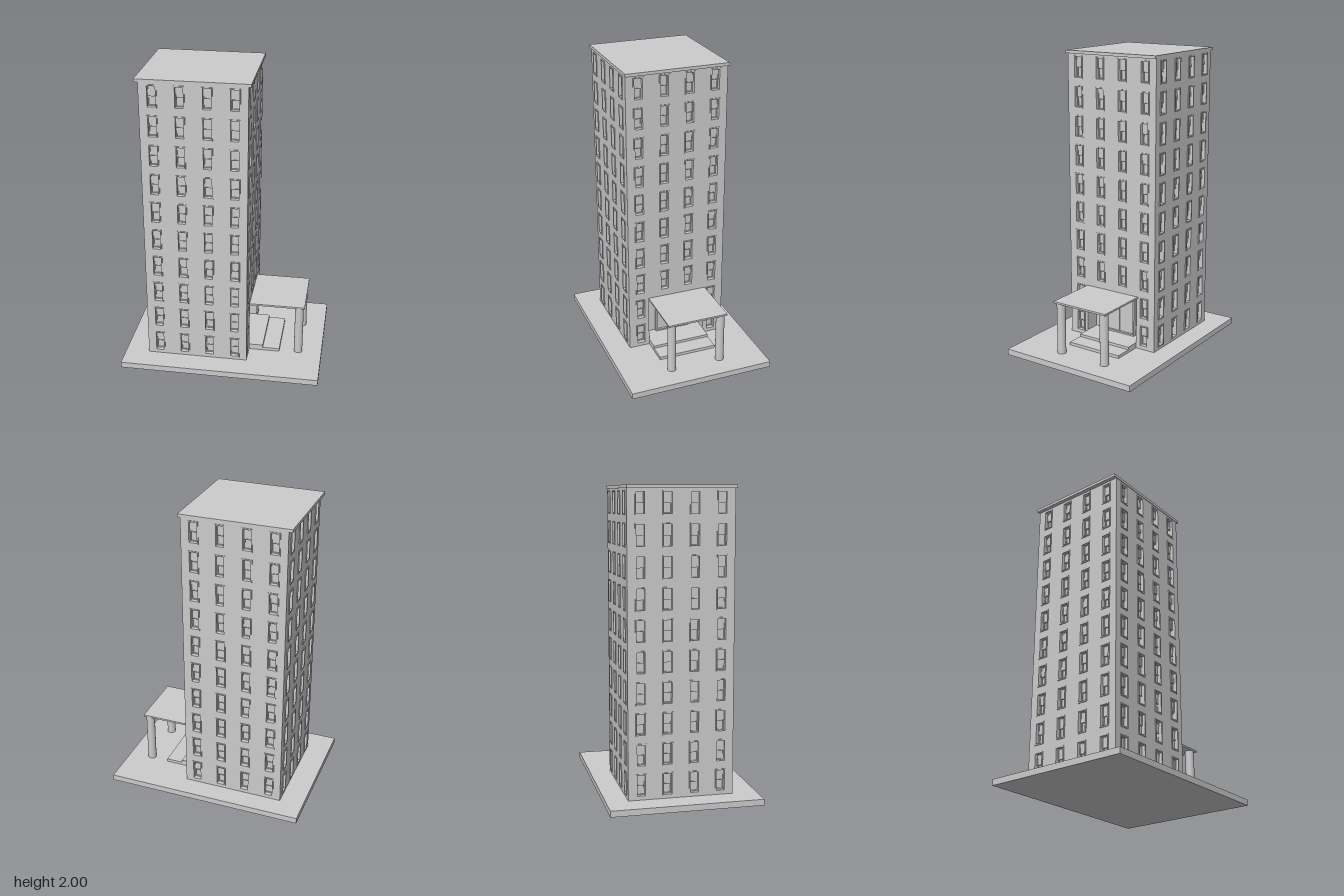
import * as THREE from 'three';
import { mergeGeometries } from 'three/addons/utils/BufferGeometryUtils.js';

const grey = new THREE.MeshStandardMaterial({ color: 0xcccccc });

// Tower dimensions
const CX = -0.17, CZ = -0.0105;
const W = 0.68, D = 0.683;
const BASE = 0.04, TOP = 1.98;
const WALL = 0.03;
const COLUMNS = [-0.258, -0.086, 0.086, 0.258];
const ROWS = Array.from({ length: 10 }, (_, i) => 0.134 + i * 0.1955);
const WIN_W = 0.068, WIN_H = 0.148;

// Entrance opening in the side wall
const DOOR_HALF = 0.2, DOOR_TOP = 0.395;

function box(name, x0, x1, y0, y1, z0, z1) {
  const g = new THREE.BoxGeometry(x1 - x0, y1 - y0, z1 - z0);
  g.translate((x0 + x1) / 2, (y0 + y1) / 2, (z0 + z1) / 2);
  const m = new THREE.Mesh(g, grey);
  m.name = name;
  return m;
}

function rectPath(path, cx, cy, w, h) {
  path.moveTo(cx - w / 2, cy - h / 2);
  path.lineTo(cx + w / 2, cy - h / 2);
  path.lineTo(cx + w / 2, cy + h / 2);
  path.lineTo(cx - w / 2, cy + h / 2);
  path.closePath();
  return path;
}

// Rectangular ring, its back at z = 0
function ring(w, h, t, depth) {
  const s = rectPath(new THREE.Shape(), 0, 0, w, h);
  s.holes.push(rectPath(new THREE.Path(), 0, 0, w - 2 * t, h - 2 * t));
  return new THREE.ExtrudeGeometry(s, { depth, bevelEnabled: false });
}

// Window: outer frame, and an upper sash in front of a lower one.
// z = 0 is the outer wall face.
function windowGeometry() {
  const frame = ring(WIN_W, WIN_H, 0.008, WALL + 0.005).translate(0, 0, -WALL);
  const upper = ring(0.052, 0.07, 0.004, 0.008).translate(0, 0.031, -0.022);
  const lower = ring(0.052, 0.07, 0.004, 0.008).translate(0, -0.031, -WALL);
  const upperGlass = new THREE.BoxGeometry(0.046, 0.064, 0.003).toNonIndexed()
    .translate(0, 0.031, -0.019);
  return mergeGeometries([frame, upper, lower, upperGlass]);
}

// One wall with its windows, facing +z in its own space
function facade(name, width, hasEntrance) {
  const group = new THREE.Group();
  group.name = name;
  const h = width / 2;
  const shape = new THREE.Shape();
  shape.moveTo(-h, BASE);
  if (hasEntrance) {
    shape.lineTo(-DOOR_HALF, BASE);
    shape.lineTo(-DOOR_HALF, DOOR_TOP);
    shape.lineTo(DOOR_HALF, DOOR_TOP);
    shape.lineTo(DOOR_HALF, BASE);
  }
  shape.lineTo(h, BASE);
  shape.lineTo(h, TOP);
  shape.lineTo(-h, TOP);
  shape.closePath();

  const unit = windowGeometry();
  const windows = [];
  ROWS.forEach((y, row) => COLUMNS.forEach((x) => {
    if (hasEntrance && row < 2 && Math.abs(x) < 0.2) return;
    shape.holes.push(rectPath(new THREE.Path(), x, y, WIN_W, WIN_H));
    windows.push(unit.clone().translate(x, y, 0));
  }));

  const wallGeo = new THREE.ExtrudeGeometry(shape, { depth: WALL, bevelEnabled: false });
  const wall = new THREE.Mesh(wallGeo.translate(0, 0, -WALL), grey);
  wall.name = 'wall';
  const frames = new THREE.Mesh(mergeGeometries(windows), grey);
  frames.name = 'windows';
  group.add(wall, frames);
  return group;
}

function tower() {
  const group = new THREE.Group();
  group.name = 'tower';
  const sides = [
    ['frontFacade', W, 0, 0, D / 2],
    ['leftFacade', D, Math.PI / 2, W / 2, 0],
    ['backFacade', W, Math.PI, 0, -D / 2],
    ['rightFacade', D, -Math.PI / 2, -W / 2, 0],
  ];
  sides.forEach(([name, width, turn, x, z]) => {
    const f = facade(name, width, name === 'leftFacade');
    f.rotation.y = turn;
    f.position.set(CX + x, 0, CZ + z);
    group.add(f);
  });

  // Inner blocks that close the windows, leaving the entrance recess free
  const x0 = CX - W / 2 + WALL, x1 = CX + W / 2 - WALL;
  const z0 = CZ - D / 2 + WALL, z1 = CZ + D / 2 - WALL;
  group.add(
    box('upperCore', x0, x1, DOOR_TOP, TOP, z0, z1),
    box('lowerCore', x0, 0.07, BASE, DOOR_TOP, z0, z1),
    box('recessSideBack', 0.07, x1, BASE, DOOR_TOP, z0, CZ - DOOR_HALF),
    box('recessSideFront', 0.07, x1, BASE, DOOR_TOP, CZ + DOOR_HALF, z1),
    box('roof', -0.535, 0.187, TOP, 2, -0.356, 0.335),
  );
  return group;
}

function entrance() {
  const group = new THREE.Group();
  group.name = 'entrance';
  const zc = -0.0155;
  group.add(
    box('canopy', 0.165, 0.545, 0.393, 0.405, -0.222, 0.191),
    box('upperStep', 0.07, 0.265, BASE, 0.078, CZ - DOOR_HALF, CZ + DOOR_HALF),
    box('lowerStep', 0.16, 0.38, BASE, 0.06, CZ - DOOR_HALF, CZ + DOOR_HALF),
  );

  // Door frame and the two leaves
  const frame = new THREE.Mesh(ring(0.25, 0.305, 0.01, 0.025), grey);
  frame.name = 'doorFrame';
  frame.rotation.y = Math.PI / 2;
  frame.position.set(0.07, 0.2305, zc);
  group.add(frame);
  for (const s of [-1, 1]) {
    const z = zc + s * 0.058;
    group.add(box('doorLeaf', 0.06, 0.08, 0.088, 0.372, z - 0.056, z + 0.056));

    // Round canopy columns
    const column = new THREE.Mesh(new THREE.CylinderGeometry(0.029, 0.029, 0.355, 24), grey);
    column.name = 'column';
    column.position.set(0.508, 0.2175, zc + s * 0.173);
    group.add(column);
  }
  return group;
}

export function createModel() {
  const model = new THREE.Group();
  model.name = 'apartmentTower';
  model.add(box('groundSlab', -0.67, 0.67, 0, BASE, -0.494, 0.491), tower(), entrance());
  return model;
}
